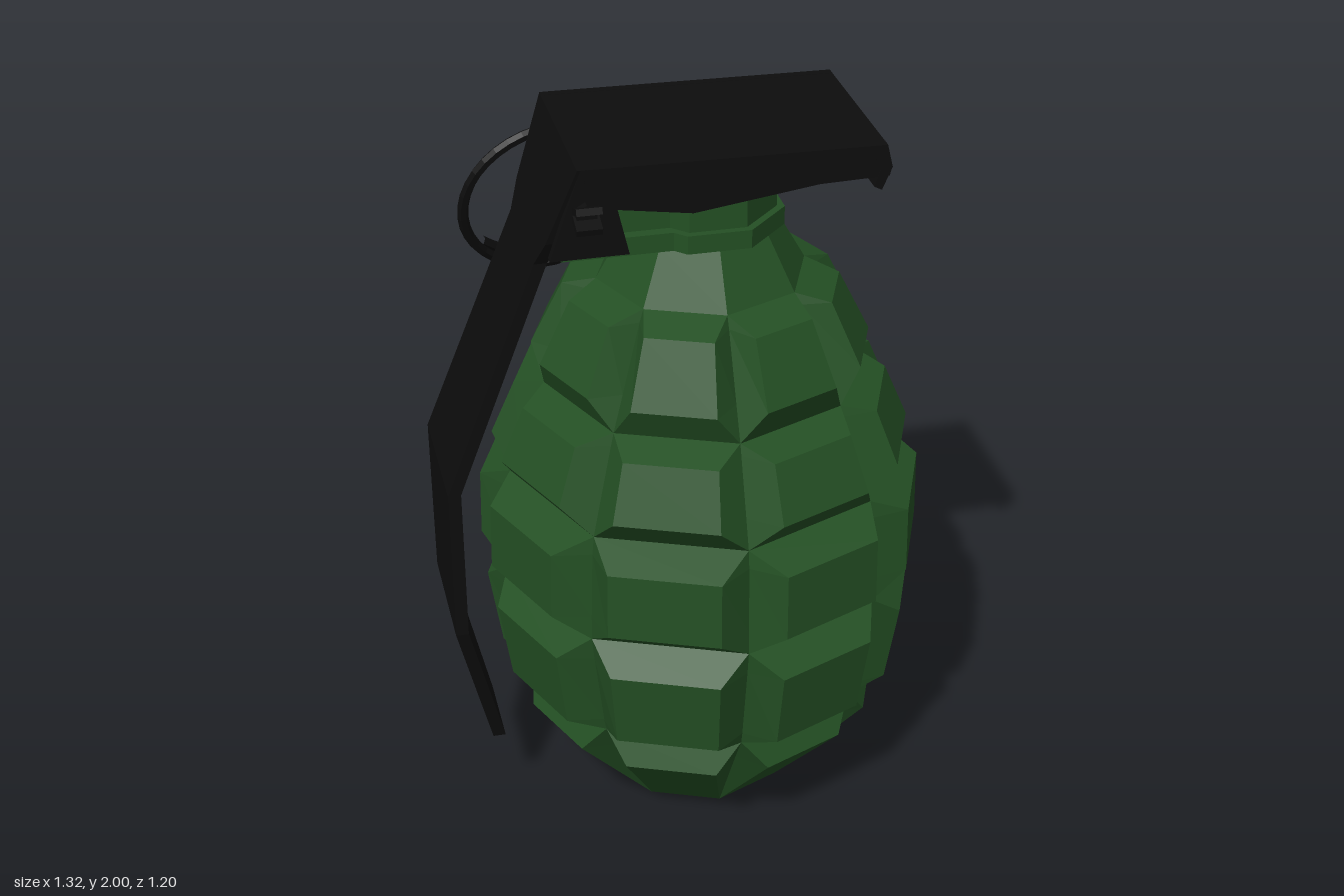
import * as THREE from 'three';

const mat = (name, color) => {
  const m = new THREE.MeshStandardMaterial({ color, flatShading: true });
  m.name = name;
  return m;
};

export function createModel() {
  const green = mat('olive green', 0x245024);
  const black = mat('black metal', 0x0d0d0d);
  const group = new THREE.Group();
  const AXIS = 0.06; // the body sits slightly off centre to leave room for the lever

  const add = (name, geo, material, x = 0, y = 0, z = 0) => {
    const m = new THREE.Mesh(geo, material);
    m.name = name;
    m.position.set(x, y, z);
    group.add(m);
    return m;
  };

  // Builds a mesh from closed cross-sections, each a loop of Vector3
  const loft = (loops, capped = false) => {
    const n = loops[0].length, pos = [];
    const tri = (a, b, c) => {
      if (a.equals(b) || b.equals(c) || a.equals(c)) return;
      for (const p of [a, b, c]) pos.push(p.x, p.y, p.z);
    };
    for (let i = 0; i + 1 < loops.length; i++) {
      for (let j = 0; j < n; j++) {
        const k = (j + 1) % n;
        tri(loops[i][j], loops[i + 1][j], loops[i + 1][k]);
        tri(loops[i][j], loops[i + 1][k], loops[i][k]);
      }
    }
    if (capped) {
      const a = loops[0], b = loops[loops.length - 1];
      for (let j = 1; j + 1 < n; j++) {
        tri(a[0], a[j], a[j + 1]);
        tri(b[0], b[j + 1], b[j]);
      }
    }
    const g = new THREE.BufferGeometry();
    g.setAttribute('position', new THREE.Float32BufferAttribute(pos, 3));
    g.computeVertexNormals();
    return g;
  };

  // Segmented body: [height, groove radius, block radius]; without a block
  // radius the ring is a plain octagon forming a horizontal groove
  const rings = [
    [0, 0.26], [0.29, 0.43, 0.505],
    [0.38, 0.485], [0.42, 0.495, 0.56], [0.65, 0.535, 0.595],
    [0.72, 0.545], [0.79, 0.543, 0.606], [0.98, 0.533, 0.602],
    [1.03, 0.525], [1.11, 0.495, 0.565], [1.26, 0.437, 0.5],
    [1.29, 0.425], [1.38, 0.38, 0.45], [1.55, 0.298, 0.365],
    [1.58, 0.28], [1.72, 0.2],
  ];
  const STEP = Math.PI / 4, EDGE = 0.145;
  const loops = rings.map(([y, groove, block]) => {
    const loop = [];
    const point = (r, t) => new THREE.Vector3(r * Math.cos(t), y, r * Math.sin(t));
    for (let s = 0; s < 8; s++) {
      const t = s * STEP, next = ((s + 1) % 8) * STEP;
      loop.push(point(groove, t));
      loop.push(block ? point(block, t + EDGE) : point(groove, t));
      loop.push(block ? point(block, t + STEP - EDGE) : point(groove, next));
    }
    return loop;
  });
  add('body', loft(loops), green, AXIS);
  const base = add('base', new THREE.CircleGeometry(0.26, 8), black, AXIS, 0, 0);
  base.rotation.x = Math.PI / 2;

  // Neck with a collar and the mount that carries the lever
  const octagon = (r, h) => new THREE.CylinderGeometry(r, r, h, 8).rotateY(Math.PI / 8);
  add('collar', octagon(0.216, 0.05), green, AXIS, 1.745);
  add('neck', octagon(0.195, 0.2), green, AXIS, 1.86);
  add('collarExtension', new THREE.BoxGeometry(0.4, 0.05, 0.34), green, -0.14, 1.745);
  add('leverMount', new THREE.BoxGeometry(0.36, 0.18, 0.28), green, -0.1, 1.86);

  // Profiles in the xy plane, given thickness along z
  const slab = (points, depth) => {
    const shape = new THREE.Shape(points.map(([x, y]) => new THREE.Vector2(x, y)));
    return new THREE.ExtrudeGeometry(shape, { depth, bevelEnabled: false })
      .translate(0, 0, -depth / 2);
  };

  // Lever cap: top plate with a hooked lip and two side flanges
  add('capPlate', slab([
    [-0.3, 2], [0.47, 1.99], [0.485, 1.93], [0.46, 1.87], [0.44, 1.88],
    [0.455, 1.925], [0.44, 1.955], [-0.29, 1.965],
  ], 0.505), black);
  const flange = slab([
    [-0.3, 2], [0.47, 1.99], [0.485, 1.93], [0.48, 1.905], [0.3, 1.9],
    [-0.02, 1.855], [-0.21, 1.885], [-0.18, 1.76], [-0.38, 1.76],
  ], 0.025);
  for (const side of [1, -1]) {
    const f = add('capFlange', flange, black, 0, 0, side * 0.238);
    // lean the lower edge slightly inward
    f.rotation.x = side * 0.04;
    f.position.y = 0.002;
    f.position.z -= side * 0.04 * 1.9;
    f.position.z += 0;
  }
  // Undo the shift that the lean causes at cap height
  group.children.filter((c) => c.name === 'capFlange').forEach((f) => {
    const side = Math.sign(f.rotation.x);
    f.position.z = side * 0.238 - 1.96 * Math.sin(f.rotation.x);
  });

  // Bent lever strip: [x, y, half width]
  const strip = [
    [-0.3, 2, 0.252], [-0.375, 1.79, 0.205], [-0.4, 1.72, 0.165],
    [-0.65, 1.09, 0.19], [-0.65, 0.64, 0.18], [-0.555, 0.23, 0.115],
  ];
  const T = 0.026;
  add('lever', loft(strip.map(([x, y, w]) => [
    new THREE.Vector3(x - T / 3, y, -w), new THREE.Vector3(x + T, y, -w),
    new THREE.Vector3(x + T, y, w), new THREE.Vector3(x - T / 3, y, w),
  ]).reverse(), true), black);

  // Safety pin with splayed ends
  const pin = new THREE.CylinderGeometry(0.03, 0.03, 0.54, 6).rotateX(Math.PI / 2);
  add('safetyPin', pin, black, -0.29, 1.885, 0);
  for (const s of [1, -1]) {
    const prong = add('pinProng', new THREE.BoxGeometry(0.065, 0.018, 0.07), black,
      -0.29, 1.885 + s * 0.016, 0.268);
    prong.rotation.x = -s * 0.35;
  }

  // Split pull ring, one and a quarter turns, hanging at a slant
  const u = new THREE.Vector3(0.98, 0, -0.18);
  const v = new THREE.Vector3(0, 0.93, 0.37);
  const n = u.clone().cross(v);
  const coil = [];
  for (let i = 0; i <= 30; i++) {
    const f = i / 30, t = THREE.MathUtils.degToRad(225 + 450 * f);
    coil.push(new THREE.Vector3(-0.285, 1.67, -0.345)
      .addScaledVector(u, 0.24 * Math.cos(t))
      .addScaledVector(v, 0.245 * Math.sin(t))
      .addScaledVector(n, (f - 0.5) * 0.06));
  }
  add('pullRing', new THREE.TubeGeometry(new THREE.CatmullRomCurve3(coil), 48, 0.015, 6),
    black);

  return group;
}
